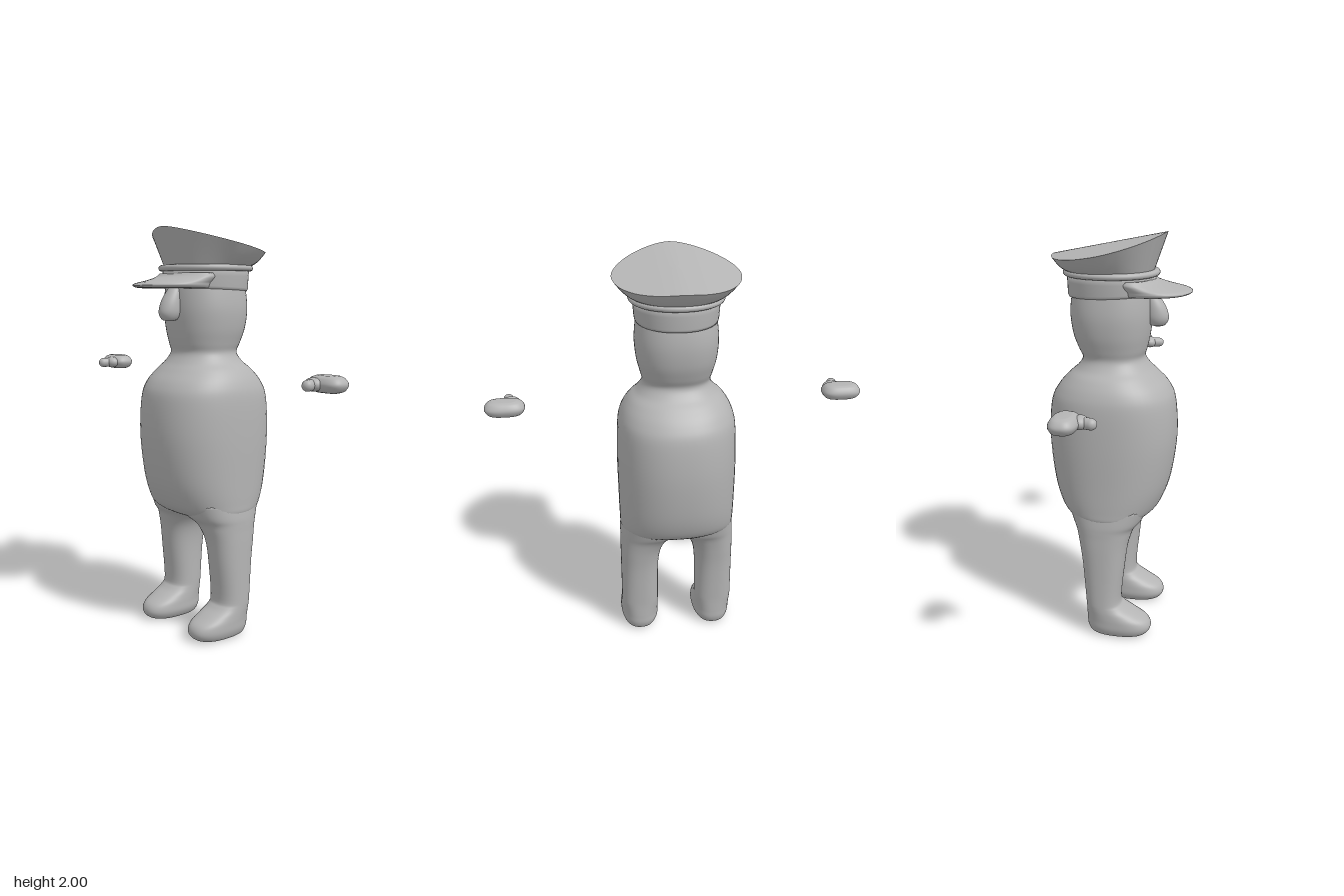
import * as THREE from 'three';

const SEG = 56;
const grey = new THREE.MeshStandardMaterial({ color: 0xb4b4b4 });
grey.name = 'plain grey';

// Closed superellipse ring between x0..x1 and z0..z1, starting at the front
function ring(y, x0, x1, z0, z1, expo = 2, frontExpo = expo) {
  const points = [];
  for (let i = 0; i < SEG; i++) {
    const a = (i / SEG) * Math.PI * 2, s = Math.sin(a), c = Math.cos(a);
    const n = c > 0 ? frontExpo : expo;
    const r = Math.pow(Math.pow(Math.abs(s), n) + Math.pow(Math.abs(c), n), -1 / n);
    points.push(new THREE.Vector3((x0 + x1) / 2 + r * s * (x1 - x0) / 2, y, (z0 + z1) / 2 + r * c * (z1 - z0) / 2));
  }
  return points;
}

// Smooth skin over rings listed from bottom to top, optionally capped
function skin(name, rings, capBottom = true, capTop = true) {
  const pos = [], index = [];
  rings.forEach(r => r.forEach(p => pos.push(p.x, p.y, p.z)));
  for (let j = 0; j < rings.length - 1; j++) {
    for (let i = 0; i < SEG; i++) {
      const k = (i + 1) % SEG, a = j * SEG + i, b = j * SEG + k;
      index.push(a, b, b + SEG, a, b + SEG, a + SEG);
    }
  }
  const cap = (row, up) => {
    const mid = new THREE.Vector3();
    rings[row].forEach(p => mid.addScaledVector(p, 1 / SEG));
    const m = pos.length / 3;
    pos.push(mid.x, mid.y, mid.z);
    for (let i = 0; i < SEG; i++) {
      const a = row * SEG + i, b = row * SEG + (i + 1) % SEG;
      if (up) index.push(a, b, m); else index.push(b, a, m);
    }
  };
  if (capBottom) cap(0, false);
  if (capTop) cap(rings.length - 1, true);
  const geo = new THREE.BufferGeometry();
  geo.setAttribute('position', new THREE.Float32BufferAttribute(pos, 3));
  geo.setIndex(index);
  geo.computeVertexNormals();
  const mesh = new THREE.Mesh(geo, grey);
  mesh.name = name;
  return mesh;
}

// Loft through sections [y, x0, x1, z0, z1] with a curve between them
function loft(name, sections, expo = 2, steps = 5) {
  const curve = (a, b) => new THREE.CatmullRomCurve3(
    sections.map(s => new THREE.Vector3(s[0], s[a], s[b])), false, 'catmullrom', 0.5);
  const cx = curve(1, 2), cz = curve(3, 4), rings = [], n = (sections.length - 1) * steps;
  for (let i = 0; i <= n; i++) {
    const p = cx.getPoint(i / n), q = cz.getPoint(i / n);
    rings.push(ring(p.y === undefined ? 0 : p.x, p.y, p.z, q.y, q.z, expo));
  }
  return skin(name, rings);
}
const even = rows => rows.map(([y, w, z0, z1]) => [y, -w, w, z0, z1]);

export function createModel() {
  const model = new THREE.Group();
  model.name = 'officer';

  // Torso, neck and head in one flowing shape
  model.add(loft('body', even([
    [0.588, 0.15, -0.12, 0.06], [0.6, 0.24, -0.18, 0.12], [0.63, 0.282, -0.24, 0.175],
    [0.68, 0.288, -0.285, 0.215], [0.8, 0.29, -0.322, 0.257], [1.0, 0.292, -0.344, 0.284],
    [1.18, 0.286, -0.335, 0.275], [1.26, 0.268, -0.302, 0.245], [1.32, 0.232, -0.25, 0.19],
    [1.36, 0.19, -0.205, 0.15], [1.405, 0.164, -0.178, 0.122], [1.45, 0.173, -0.197, 0.132],
    [1.52, 0.19, -0.223, 0.146], [1.61, 0.198, -0.236, 0.155], [1.7, 0.19, -0.23, 0.152],
    [1.78, 0.175, -0.21, 0.14],
  ]), 2.3));

  // Legs with feet, and floating hands
  for (const [side, m] of [['left', 1], ['right', -1]]) {
    const mir = rows => rows.map(([y, a, b, z0, z1]) => m > 0 ? [y, a, b, z0, z1] : [y, -b, -a, z0, z1]);
    model.add(loft(side + 'Leg', mir([
      [0.003, 0.14, 0.25, -0.07, 0.12], [0.012, 0.115, 0.275, -0.105, 0.175],
      [0.045, 0.097, 0.29, -0.122, 0.2], [0.085, 0.096, 0.292, -0.125, 0.185],
      [0.12, 0.098, 0.291, -0.126, 0.125], [0.155, 0.1, 0.29, -0.127, 0.065],
      [0.2, 0.1, 0.29, -0.13, 0.046], [0.38, 0.098, 0.29, -0.145, 0.064],
      [0.48, 0.085, 0.29, -0.16, 0.077], [0.54, 0.058, 0.289, -0.173, 0.093],
      [0.575, 0.022, 0.289, -0.185, 0.108], [0.61, -0.03, 0.288, -0.205, 0.14],
      [0.68, -0.03, 0.28, -0.23, 0.17],
    ]), 2.4));

    const hand = new THREE.Group();
    hand.name = side + 'Hand';
    const palm = loft('palm', mir([
      [1.27, 0.76, 0.87, -0.085, -0.025], [1.28, 0.735, 0.895, -0.103, -0.003],
      [1.307, 0.72, 0.91, -0.115, 0.01], [1.333, 0.735, 0.895, -0.103, -0.003],
      [1.344, 0.76, 0.87, -0.085, -0.025],
    ]), 2.8);
    const thumb = new THREE.Mesh(new THREE.CapsuleGeometry(0.025, 0.08, 8, 20), grey);
    thumb.name = 'thumb';
    thumb.rotation.set(Math.PI / 2, 0, -m * 0.3);
    thumb.position.set(m * 0.787, 1.305, 0.016);
    const web = new THREE.Mesh(new THREE.SphereGeometry(1, 24, 16), grey);
    web.name = 'thumbBase';
    web.scale.set(0.045, 0.03, 0.035);
    web.position.set(m * 0.785, 1.306, 0.005);
    hand.add(palm, thumb, web);
    model.add(hand);
  }

  // Drooping nose
  model.add(loft('nose', even([
    [1.558, 0.012, 0.165, 0.2], [1.568, 0.034, 0.14, 0.222], [1.6, 0.048, 0.12, 0.236],
    [1.65, 0.047, 0.12, 0.222], [1.7, 0.036, 0.12, 0.19], [1.73, 0.02, 0.12, 0.165],
  ])));

  // Cap band, dipping slightly at the back
  const band = [[1.715, 0.185, -0.23, 0.155], [1.712, 0.194, -0.245, 0.165], [1.725, 0.197, -0.25, 0.168],
    [1.77, 0.201, -0.252, 0.17], [1.815, 0.204, -0.255, 0.172]].map(([y, w, a, b]) => ring(y, -w, w, a, b, 2.1));
  band.forEach((r, j) => r.forEach(p => { if (j < 3) p.y -= 0.04 * (0.1 - p.z) * (p.z < 0.1 ? 1 : 0); }));
  model.add(skin('capBand', band));

  // Raised piping around the top of the band
  const piping = [];
  for (let j = 0; j <= 10; j++) {
    const a = -Math.PI / 2 + (j / 10) * Math.PI, d = 0.017 * Math.cos(a);
    piping.push(ring(1.81 + 0.015 * Math.sin(a), -0.207 - d, 0.207 + d, -0.255 - d, 0.172 + d, 2.1));
  }
  model.add(skin('capPiping', piping));

  // Visor
  model.add(loft('visor', even([
    [1.713, 0.165, -0.02, 0.29], [1.717, 0.18, -0.02, 0.33], [1.727, 0.188, -0.02, 0.346],
    [1.738, 0.189, -0.02, 0.325], [1.752, 0.19, -0.02, 0.25], [1.768, 0.19, -0.02, 0.19],
    [1.785, 0.18, -0.02, 0.165],
  ]), 2.2));

  // Flared crown: side wall, then a ridged top that slopes to the back
  const topY = (x, z) => 1.955 + 0.2 * z - 0.14 * (Math.sqrt(x * x + 0.003) - 0.055);
  const base = ring(1.815, -0.203, 0.203, -0.25, 0.16, 2.05);
  const rim = ring(0, -0.297, 0.297, -0.325, 0.226, 2, 1.72);
  rim.forEach(p => { p.y = topY(p.x, p.z); });
  const wall = [];
  for (let j = 0; j <= 8; j++) {
    const t = j / 8;
    wall.push(base.map((p, i) => {
      const q = p.clone().lerp(rim[i], t);
      q.y += 0.012 * Math.sin(t * Math.PI) * (q.z < 0 ? -1 : 0);
      return q;
    }));
  }
  model.add(skin('crownWall', wall, false, false));
  const top = [];
  for (let j = 0; j <= 8; j++) {
    const t = 1 - j / 8.2;
    top.push(rim.map(p => {
      const x = p.x * t, z = -0.05 + (p.z + 0.05) * t;
      return new THREE.Vector3(x, topY(x, z), z);
    }));
  }
  model.add(skin('crownTop', top, false, true));

  return model;
}
